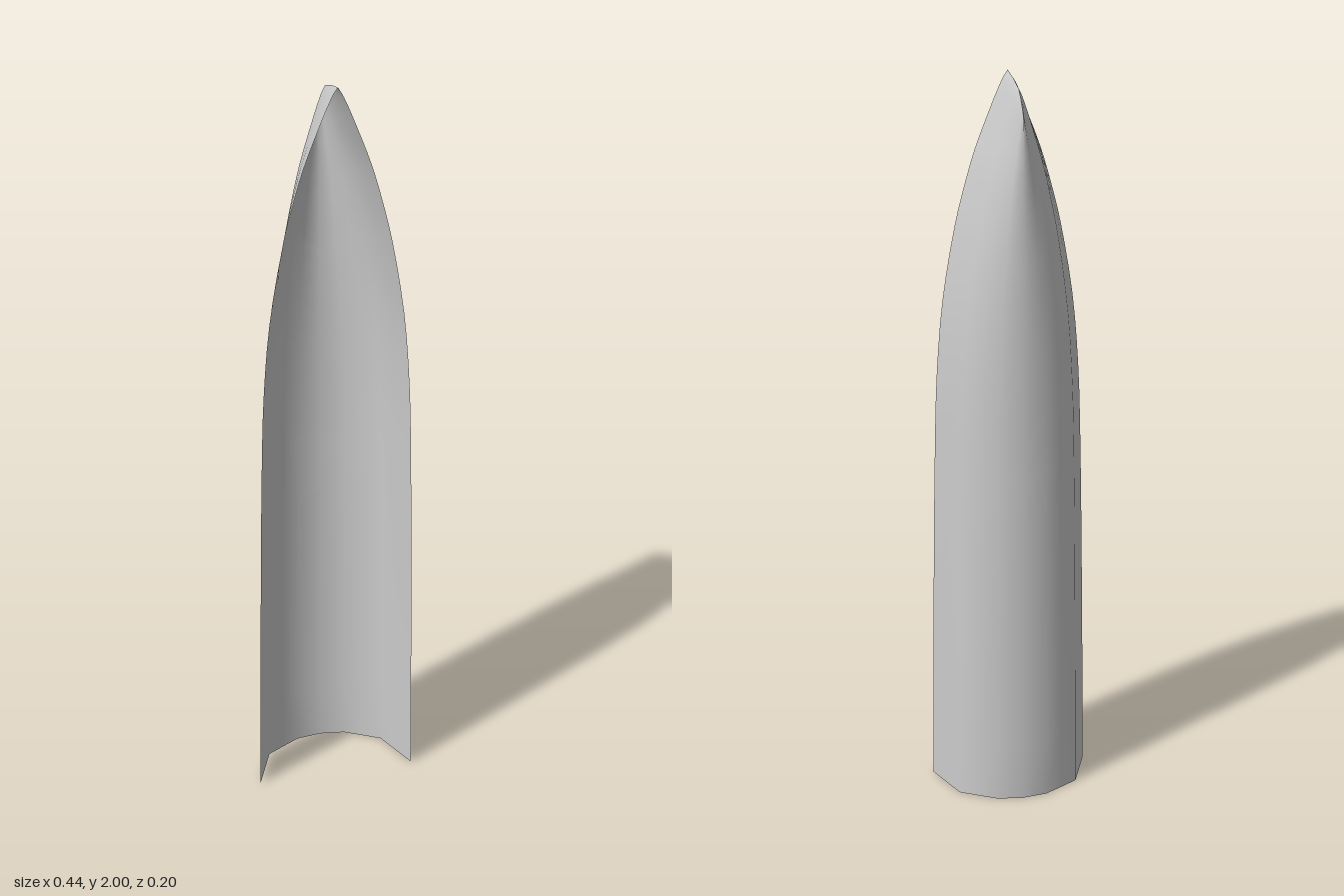
import * as THREE from 'three';
import { mergeVertices } from 'three/addons/utils/BufferGeometryUtils.js';

// Half section from gunwale to keel: [x at the base, z, height of the stem at this level]
const SECTION = [
  [0.222, 0.1, 2.0], [0.195, 0.033, 1.989], [0.168, -0.033, 1.972],
  [0.119, -0.062, 1.95], [0.07, -0.09, 1.918], [0, -0.1, 1.9],
];

// Taper of the half width along the length: [height, half width]
const TAPER = [
  [0, 0.222], [0.5, 0.214], [1, 0.203], [1.2, 0.195], [1.4, 0.177], [1.6, 0.142],
  [1.7, 0.117], [1.8, 0.087], [1.9, 0.048], [1.95, 0.027], [1.985, 0.01], [2, 0],
];

// Straight interpolation between finely spaced samples of a smooth curve
const taperCurve = new THREE.CatmullRomCurve3(
  TAPER.map(([y, w]) => new THREE.Vector3(w, y, 0)), false, 'centripetal');

function hullGeometry() {
  // Mirror the half section into a full one, keel counted once
  const columns = [
    ...SECTION.map(([x, z, h]) => [-x, z, h]),
    ...SECTION.slice(0, -1).reverse(),
  ];
  const rows = taperCurve.getPoints((TAPER.length - 1) * 3);
  const positions = [];
  const indices = [];
  const n = columns.length;

  rows.forEach((p, i) => {
    for (const [x, z, h] of columns) {
      positions.push((x * p.x) / 0.222, (p.y / 2) * h, z);
    }
    if (i === 0) return;
    for (let j = 0; j < n - 1; j++) {
      const a = (i - 1) * n + j, b = a + 1, c = a + n, d = c + 1;
      indices.push(a, c, b);
      if (i < rows.length - 1 || j !== n / 2) indices.push(b, c, d);
    }
  });

  const geometry = new THREE.BufferGeometry();
  geometry.setAttribute('position', new THREE.Float32BufferAttribute(positions, 3));
  geometry.setIndex(indices);
  // Weld both sides along the stem so that it shades smoothly
  const welded = mergeVertices(geometry, 1e-5);
  welded.computeVertexNormals();
  return welded;
}

export function createModel() {
  const model = new THREE.Group();
  model.name = 'boatHull';

  // Thin open shell standing on its stern, bow pointing up
  const hull = new THREE.Mesh(
    hullGeometry(),
    new THREE.MeshStandardMaterial({ color: 0xcccccc, side: THREE.DoubleSide }));
  hull.name = 'hullShell';
  model.add(hull);
  return model;
}
